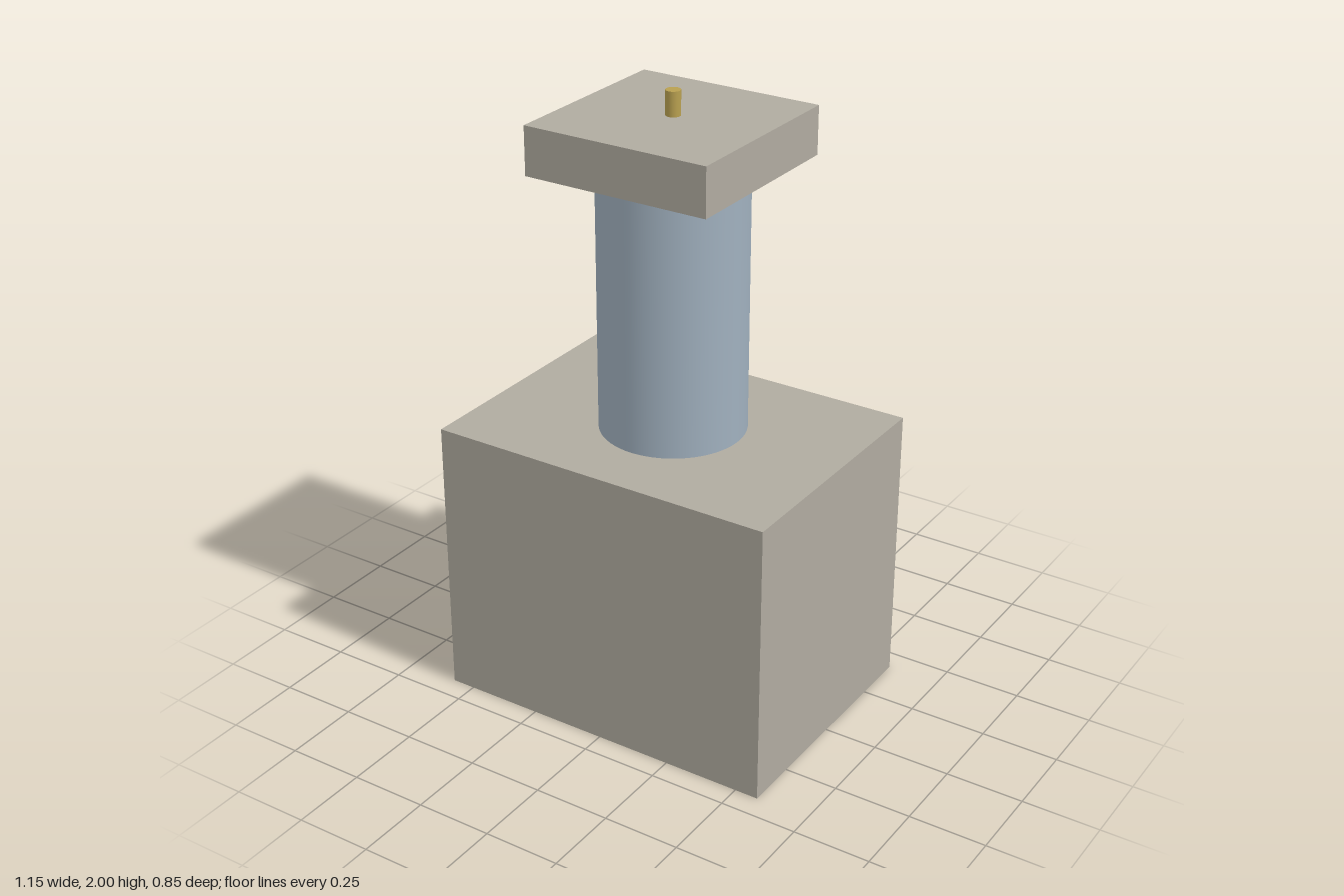
import * as THREE from 'three';

const U = 2 / 26; // the model is 26 modules tall

export function createModel() {
  const group = new THREE.Group();
  const material = (name, color) => {
    const m = new THREE.MeshStandardMaterial({ color });
    m.name = name;
    return m;
  };
  const stone = material('warm grey stone', 0xb0aba0);
  const steel = material('blue grey steel', 0xa0b0be);
  const brass = material('brass', 0xb8a050);

  // Parts are stacked upward, each resting on the one below
  let top = 0;
  const stack = (name, geometry, height, mat) => {
    const mesh = new THREE.Mesh(geometry, mat);
    mesh.name = name;
    mesh.position.y = (top + height / 2) * U;
    top += height;
    group.add(mesh);
  };
  const box = (w, h, d) => new THREE.BoxGeometry(w * U, h * U, d * U);
  const rod = (r, h, sides) => new THREE.CylinderGeometry(r * U, r * U, h * U, sides);

  stack('base', box(15, 12, 11), 12, stone);
  stack('column', rod(3, 11, 64), 11, steel);
  stack('capPlate', box(8, 2, 8), 2, stone);
  stack('pin', rod(0.3, 1, 32), 1, brass);

  return group;
}
